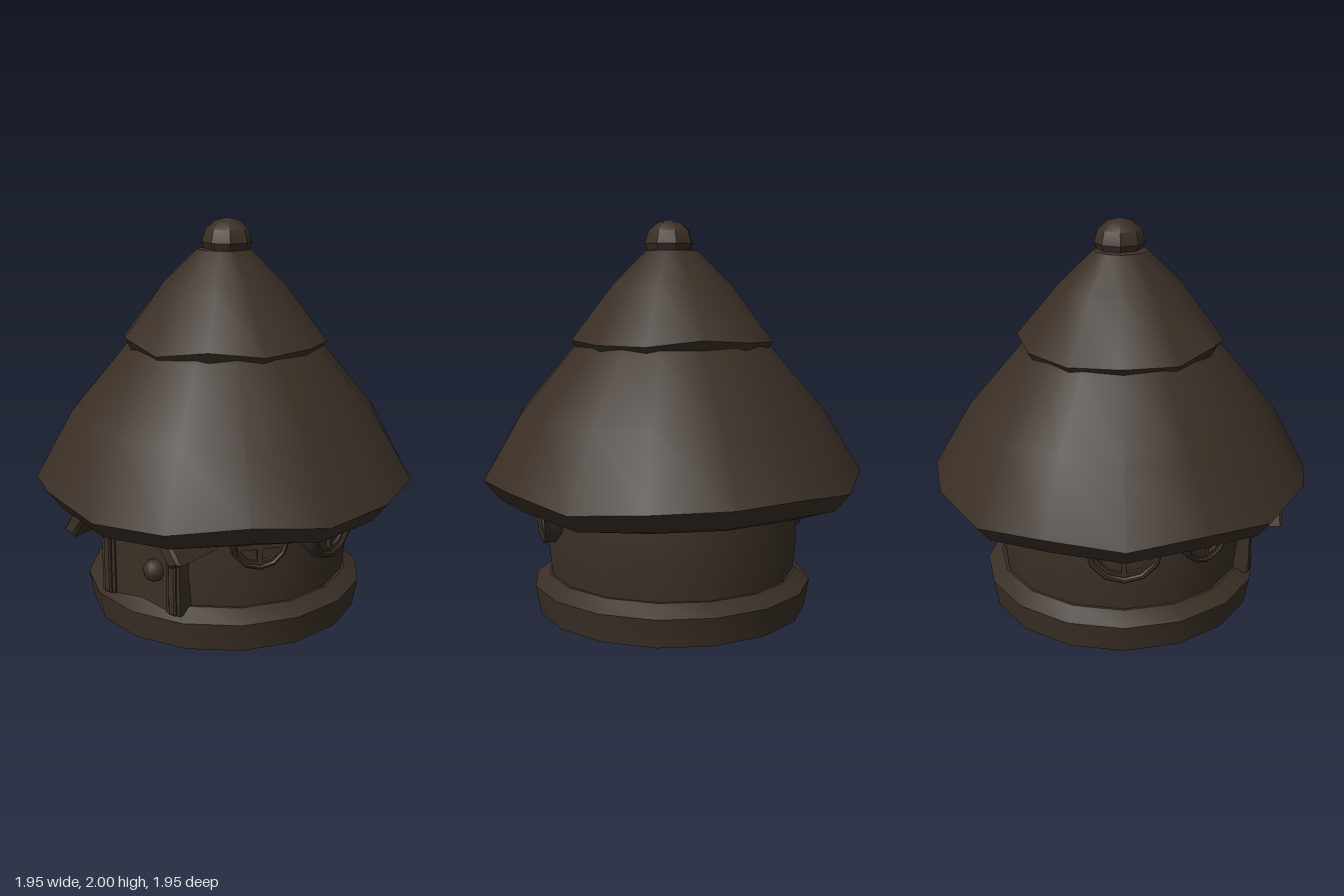
import * as THREE from 'three';
import { toCreasedNormals } from 'three/addons/utils/BufferGeometryUtils.js';

const brown = new THREE.MeshStandardMaterial({ color: 0x3a2f26 });

function mesh(name, geometry, crease = 0.6) {
  const m = new THREE.Mesh(toCreasedNormals(geometry, crease), brown);
  m.name = name;
  return m;
}

// Turned solid; profile points are [radius, height, ripple weight]
function turned(name, profile, sides, ripple = () => 0) {
  const geo = new THREE.LatheGeometry(profile.map(([r, y]) => new THREE.Vector2(r, y)), sides);
  const p = geo.attributes.position;
  for (let i = 0; i < p.count; i++) {
    const side = Math.floor(i / profile.length) % sides;
    const weight = profile[i % profile.length][2] || 0;
    p.setY(i, p.getY(i) + weight * ripple(side));
  }
  return mesh(name, geo);
}

function extruded(name, shape, z0, z1, bevel = 0) {
  const geo = new THREE.ExtrudeGeometry(shape, {
    depth: z1 - z0 - 2 * bevel, curveSegments: 6, bevelEnabled: bevel > 0,
    bevelSize: bevel, bevelThickness: bevel, bevelOffset: -bevel, bevelSegments: 1,
  });
  geo.translate(0, 0, z0 + bevel);
  return mesh(name, geo);
}

// Round-topped outline standing on y = bottom
function archPoints(half, bottom, spring, rise) {
  const pts = [new THREE.Vector2(-half, bottom), new THREE.Vector2(half, bottom)];
  for (let i = 0; i <= 8; i++) {
    const a = (i / 8) * Math.PI;
    pts.push(new THREE.Vector2(half * Math.cos(a), spring + rise * Math.sin(a)));
  }
  return pts;
}

// Arched band open at the bottom
function archBand(outer, inner, bottom) {
  const a = archPoints(outer, bottom, 0.48, outer * 0.9).slice(1);
  const b = archPoints(inner, bottom, 0.48, inner * 0.9).slice(1);
  a.push(new THREE.Vector2(-outer, bottom));
  b.push(new THREE.Vector2(-inner, bottom));
  return new THREE.Shape([...a, ...b.reverse()]);
}

function ring(outer, inner) {
  const circle = (r) => Array.from({ length: 12 }, (_, i) => {
    const a = (i / 12) * Math.PI * 2;
    return new THREE.Vector2(r * Math.cos(a), r * Math.sin(a));
  });
  const s = new THREE.Shape(circle(outer));
  s.holes.push(new THREE.Path(circle(inner)));
  return s;
}

// Round window with a cross, facing outwards at the given angle
function roundWindow(name, angle, y, r) {
  const g = new THREE.Group();
  g.name = name;
  const pane = new THREE.CylinderGeometry(r * 0.85, r * 0.85, 0.06, 12).rotateX(Math.PI / 2);
  pane.translate(0, 0, 0.625);
  g.add(mesh('windowPane', pane));
  g.add(extruded('windowFrame', ring(r, r * 0.84), 0.58, 0.69, 0.008));
  g.add(extruded('windowInnerFrame', ring(r * 0.86, r * 0.76), 0.6, 0.675));
  const upright = mesh('windowUpright', new THREE.BoxGeometry(0.026, r * 1.55, 0.03));
  const crossbar = mesh('windowCrossbar', new THREE.BoxGeometry(r * 1.5, 0.026, 0.03));
  upright.position.z = 0.66;
  crossbar.position.set(0, -0.03, 0.66);
  g.add(upright, crossbar);
  g.position.y = y;
  g.rotation.y = angle;
  return g;
}

export function createModel() {
  const model = new THREE.Group();
  model.name = 'hut';

  // Stone base and round wall
  model.add(turned('base', [[0, 0], [0.7, 0], [0.725, 0.145], [0.65, 0.2], [0, 0.2]], 16));
  model.add(turned('wall', [[0.635, 0.18], [0.655, 0.38], [0.635, 0.56], [0.62, 0.8], [0, 0.8]], 16));

  // Two-tier thatched roof with wavy, thick eaves
  const lowWave = [0.68, 0.69, 0.735, 0.69, 0.71, 0.72, 0.67, 0.7, 0.71, 0.72, 0.68, 0.73, 0.7, 0.74, 0.69, 0.73];
  model.add(turned('lowerRoof', [
    [0.5, 0.86], [0.62, 0.79], [0.86, 0.59, 0.6], [0.9, 0.605, 0.8], [0.975, 0.7, 1],
    [0.78, 1.04, 0.2], [0.51, 1.36], [0.3, 1.56], [0, 1.62],
  ], 16, (i) => lowWave[i] - 0.7));
  const topWave = [1.38, 1.42, 1.39, 1.4, 1.39, 1.39, 1.42, 1.4, 1.39, 1.4, 1.39, 1.43];
  model.add(turned('upperRoof', [
    [0.4, 1.44], [0.495, 1.355, 0.5], [0.525, 1.4, 1], [0.31, 1.675], [0.135, 1.845], [0, 1.86],
  ], 12, (i) => topWave[i] - 1.4));

  // Rounded finial
  const finial = turned('finial', [
    [0, 1.82], [0.11, 1.84], [0.127, 1.88], [0.108, 1.945], [0.06, 1.985], [0, 2],
  ], 8);
  finial.position.set(0.015, 0, -0.005);
  model.add(finial);

  // Door with stepped frame and knob
  model.add(extruded('door', new THREE.Shape(archPoints(0.18, 0.17, 0.48, 0.16)), 0.56, 0.655));
  model.add(extruded('doorFrame', archBand(0.255, 0.17, 0.17), 0.56, 0.665));
  model.add(extruded('doorMoulding', archBand(0.235, 0.19, 0.17), 0.6, 0.68, 0.008));
  const knob = mesh('doorKnob', new THREE.SphereGeometry(0.055, 10, 8), 0.9);
  knob.position.set(0.095, 0.37, 0.665);
  model.add(knob);

  // Arched canopy over the door
  const half = [[0.38, 0.51], [0.28, 0.66], [0, 0.75], [-0.28, 0.66], [-0.38, 0.51],
    [-0.31, 0.48], [-0.22, 0.6], [0, 0.67], [0.22, 0.6], [0.31, 0.48]];
  model.add(extruded('doorCanopy', new THREE.Shape(half.map(([x, y]) => new THREE.Vector2(x, y))), 0.52, 0.81, 0.015));

  // Large side windows and smaller ones beside the door
  for (const [side, s] of [['left', 1], ['right', -1]]) {
    model.add(roundWindow(side + 'SideWindow', s * Math.PI / 2, 0.56, 0.19));
    model.add(roundWindow(side + 'FrontWindow', s * 0.92, 0.55, 0.145));
  }
  return model;
}
